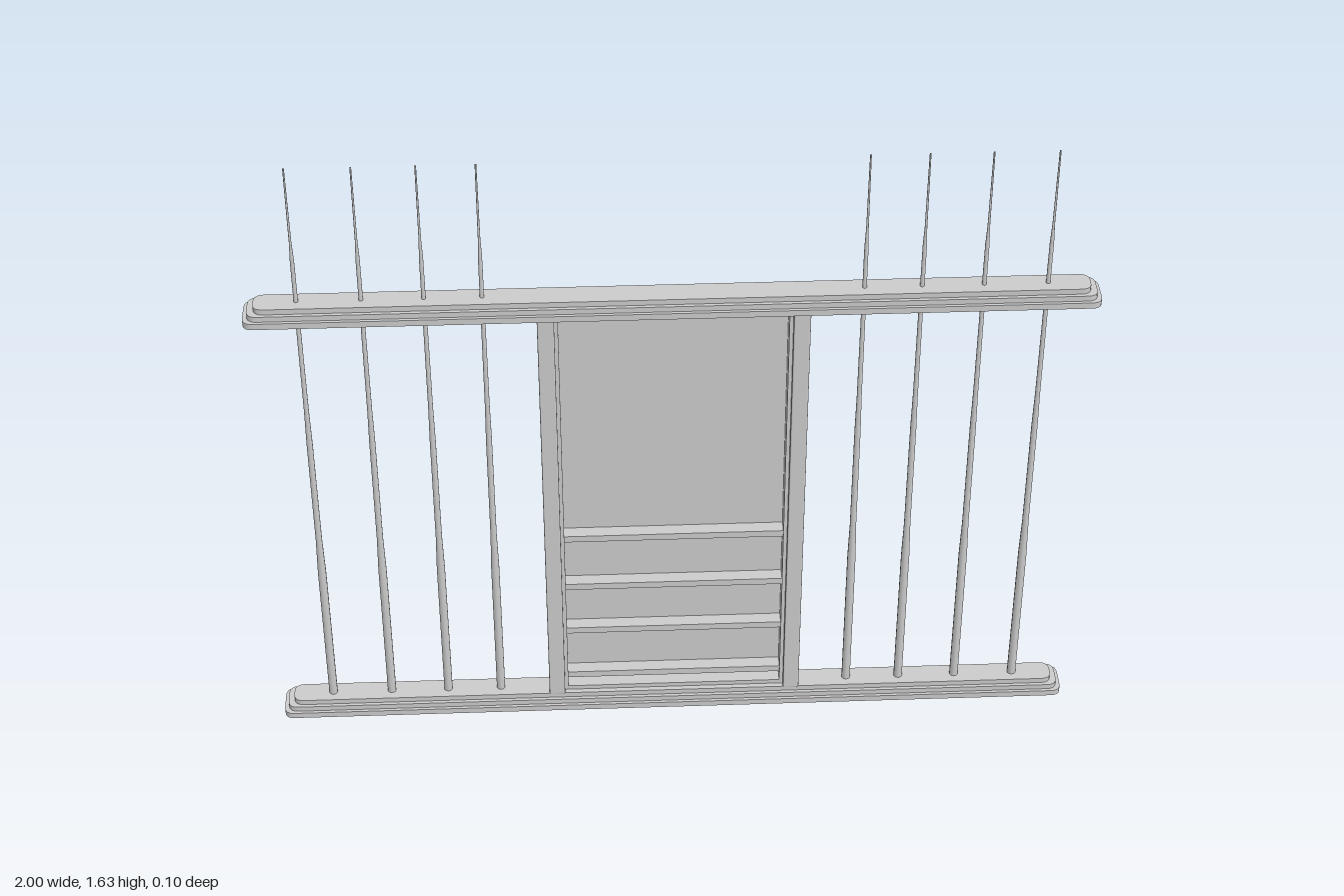
import * as THREE from 'three';
import { RoundedBoxGeometry } from 'three/addons/geometries/RoundedBoxGeometry.js';

const grey = new THREE.MeshStandardMaterial({ color: 0xcccccc });

function add(parent, name, geometry, x = 0, y = 0, z = 0) {
  const mesh = new THREE.Mesh(geometry, grey);
  mesh.name = name;
  mesh.position.set(x, y, z);
  parent.add(mesh);
  return mesh;
}

// Box given by its lower and upper corners
function box(parent, name, [x0, y0, z0], [x1, y1, z1]) {
  return add(parent, name, new THREE.BoxGeometry(x1 - x0, y1 - y0, z1 - z0),
    (x0 + x1) / 2, (y0 + y1) / 2, (z0 + z1) / 2);
}

// Flat slab with rounded corners in plan
function slab(halfX, halfZ, height, r) {
  const s = new THREE.Shape();
  s.moveTo(-halfX + r, -halfZ);
  s.lineTo(halfX - r, -halfZ);
  s.quadraticCurveTo(halfX, -halfZ, halfX, -halfZ + r);
  s.lineTo(halfX, halfZ - r);
  s.quadraticCurveTo(halfX, halfZ, halfX - r, halfZ);
  s.lineTo(-halfX + r, halfZ);
  s.quadraticCurveTo(-halfX, halfZ, -halfX, halfZ - r);
  s.lineTo(-halfX, -halfZ + r);
  s.quadraticCurveTo(-halfX, -halfZ, -halfX + r, -halfZ);
  const g = new THREE.ExtrudeGeometry(s, { depth: height, bevelEnabled: false, curveSegments: 5 });
  return g.rotateX(-Math.PI / 2);
}

// Rail of three tiers, each narrower than the one below
function rail(name, y) {
  const group = new THREE.Group();
  group.name = name;
  const tiers = [[1, 0.048, 0, 0.016], [0.99, 0.04, 0.016, 0.014], [0.975, 0.031, 0.03, 0.014]];
  for (const [halfX, halfZ, base, h] of tiers) {
    add(group, 'railTier', slab(halfX, halfZ, h, 0.025), 0, base);
  }
  group.position.y = y;
  return group;
}

export function createModel() {
  const model = new THREE.Group();
  model.name = 'railingWithShelfPanel';
  model.add(rail('bottomRail', 0), rail('topRail', 1.224));

  // Tapering rods that run through the top rail
  const profile = [[0, 0.03], [0.011, 0.03], [0.0105, 0.45], [0.008, 0.55], [0.0075, 0.85],
    [0.006, 0.95], [0.005, 1.38], [0.003, 1.43], [0.002, 1.63], [0, 1.63]]
    .map(([r, y]) => new THREE.Vector2(r, y));
  const rodGeometry = new THREE.LatheGeometry(profile, 10);
  for (const side of [-1, 1]) {
    for (const x of [0.445, 0.58, 0.725, 0.875]) add(model, 'rod', rodGeometry, side * x);
  }

  // Central case: posts, inner trim, back panel and shelves
  const shelfCase = new THREE.Group();
  shelfCase.name = 'shelfCase';
  model.add(shelfCase);
  for (const side of [-1, 1]) {
    add(shelfCase, 'post', new RoundedBoxGeometry(0.04, 1.19, 0.066, 2, 0.004), side * 0.3, 0.635);
    add(shelfCase, 'sideTrim', new THREE.BoxGeometry(0.012, 1.18, 0.046), side * 0.277, 0.634, -0.005);
  }
  box(shelfCase, 'topTrim', [-0.28, 1.213, -0.028], [0.28, 1.226, 0.018]);
  box(shelfCase, 'bottomTrim', [-0.28, 0.042, -0.028], [0.28, 0.056, 0.018]);
  box(shelfCase, 'backPanel', [-0.275, 0.05, -0.03], [0.275, 1.22, -0.02]);
  for (const y of [0.1, 0.25, 0.395, 0.55]) {
    box(shelfCase, 'shelf', [-0.272, y - 0.018, -0.022], [0.272, y, 0.014]);
  }
  return model;
}
